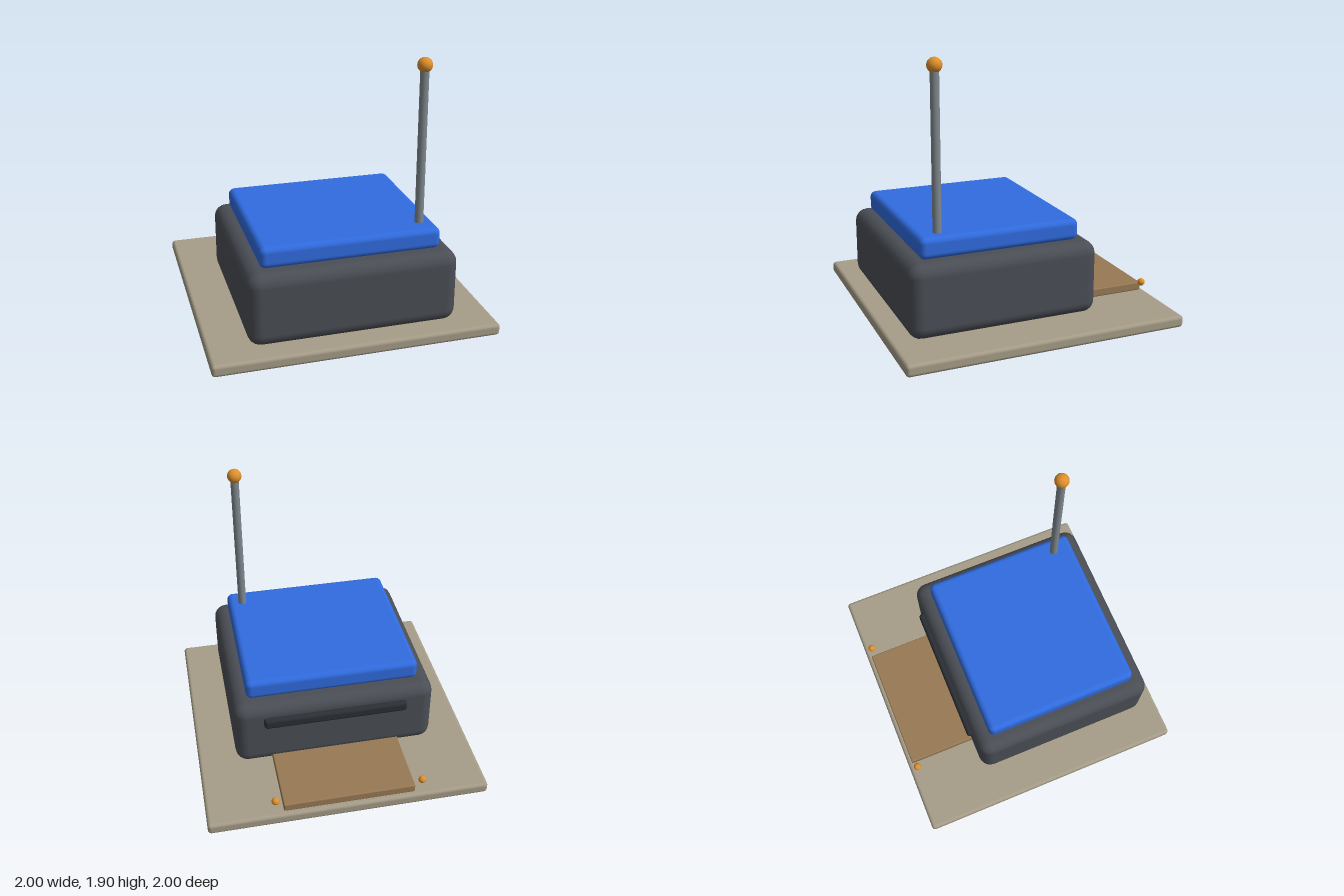
import * as THREE from 'three';
import { RoundedBoxGeometry } from 'three/addons/geometries/RoundedBoxGeometry.js';

const material = (color) => new THREE.MeshStandardMaterial({ color });

export function createModel() {
  const model = new THREE.Group();
  const orange = material(0xe0902c);

  const add = (name, geometry, mat, x, y, z) => {
    const mesh = new THREE.Mesh(geometry, mat);
    mesh.name = name;
    mesh.position.set(x, y, z);
    model.add(mesh);
  };

  // Rounded slab centred on x, given by its y and z ranges
  const slab = (name, color, width, [y0, y1], [z0, z1], radius) =>
    add(name, new RoundedBoxGeometry(width, y1 - y0, z1 - z0, 3, radius),
      material(color), 0, (y0 + y1) / 2, (z0 + z1) / 2);

  slab('basePlate', 0xa69d88, 2, [0, 0.085], [-1, 1], 0.025);
  slab('body', 0x4a4e55, 1.456, [0.085, 0.605], [-0.47, 0.88], 0.09);
  slab('lid', 0x306ce0, 1.248, [0.603, 0.753], [-0.365, 0.775], 0.042);
  slab('rearSlot', 0x2b3035, 1.04, [0.43, 0.51], [-0.508, -0.43], 0.024);
  slab('rearRamp', 0x987a54, 0.936, [0.085, 0.147], [-0.967, -0.447], 0.01);

  // Mast with a round tip, at the front left corner of the lid
  add('mast', new THREE.CylinderGeometry(0.03, 0.03, 1.12, 20), material(0x7f888e), 0.518, 1.29, 0.625);
  add('mastTip', new THREE.SphereGeometry(0.051, 24, 16), orange, 0.518, 1.85, 0.625);

  // Small lights beside the far end of the ramp
  for (const side of [-1, 1]) {
    add(side > 0 ? 'leftRampLight' : 'rightRampLight',
      new THREE.SphereGeometry(0.027, 16, 12), orange, side * 0.522, 0.171, -0.94);
  }
  return model;
}
